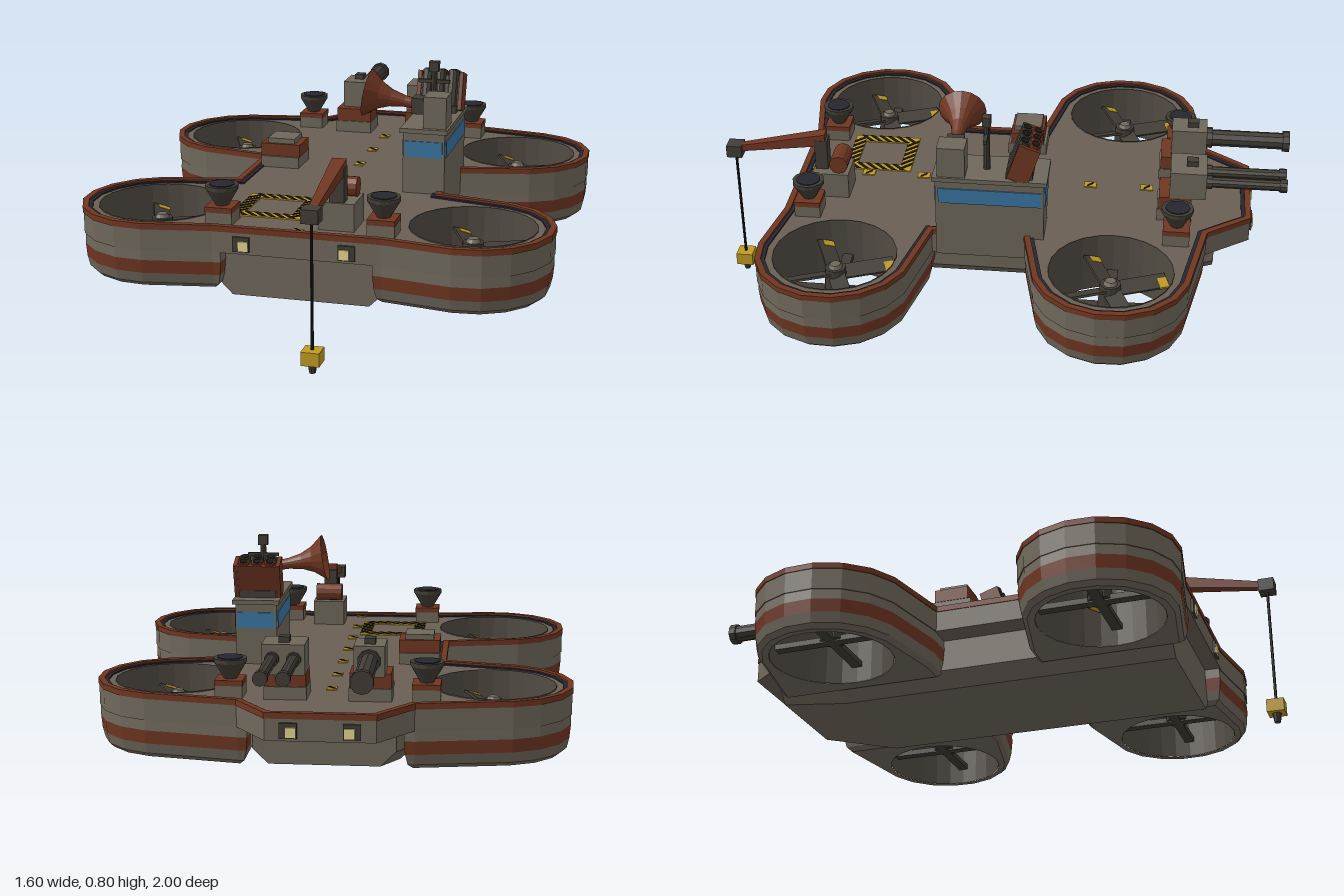
import * as THREE from 'three';

const mat = (name, color, side = THREE.FrontSide) => {
  const m = new THREE.MeshStandardMaterial({ color, side, flatShading: true });
  m.name = name;
  return m;
};
const M = {
  hull: mat('hull grey', 0x6f685b), deck: mat('deck grey brown', 0x695f53),
  rust: mat('rust red', 0x6f3621, THREE.DoubleSide), dark: mat('gunmetal', 0x413d36),
  navy: mat('navy', 0x25262f), yellow: mat('warning yellow', 0xbf9a22),
  black: mat('black', 0x1b1916), blue: mat('window blue', 0x3a76a2),
  cream: mat('lamp cream', 0xe4d690), duct: mat('duct grey', 0x514b42, THREE.DoubleSide),
};

function add(parent, name, geo, material, x = 0, y = 0, z = 0) {
  const m = new THREE.Mesh(geo, material);
  m.name = name;
  m.position.set(x, y, z);
  parent.add(m);
  return m;
}
function group(parent, name, x = 0, y = 0, z = 0) {
  const g = new THREE.Group();
  g.name = name;
  g.position.set(x, y, z);
  parent.add(g);
  return g;
}
const box = (w, h, d) => new THREE.BoxGeometry(w, h, d);
const cyl = (rt, rb, h, n = 12) => new THREE.CylinderGeometry(rt, rb, h, n);
const V2 = (x, y) => new THREE.Vector2(x, y);

// Moves a counter-clockwise plan outline inwards by d
function inset(pts, d) {
  const n = pts.length;
  return pts.map((p, i) => {
    const a = p.clone().sub(pts[(i + n - 1) % n]).normalize();
    const b = pts[(i + 1) % n].clone().sub(p).normalize();
    const na = V2(-a.y, a.x), nb = V2(-b.y, b.x);
    return na.add(nb).multiplyScalar(d / (1 + a.dot(b))).add(p);
  });
}
// Joins rings of points, with optional flat end caps
function loft(rings, caps = false) {
  const out = [], n = rings[0].length;
  const tri = (...ps) => ps.forEach(p => out.push(p.x, p.y, p.z));
  for (let r = 0; r < rings.length - 1; r++) for (let i = 0; i < n; i++) {
    const j = (i + 1) % n, A = rings[r], B = rings[r + 1];
    tri(A[i], B[i], A[j]);
    tri(A[j], B[i], B[j]);
  }
  if (caps) for (let i = 1; i < n - 1; i++) {
    const A = rings[0], B = rings[rings.length - 1];
    tri(A[0], A[i], A[i + 1]);
    tri(B[0], B[i + 1], B[i]);
  }
  const g = new THREE.BufferGeometry();
  g.setAttribute('position', new THREE.Float32BufferAttribute(out, 3));
  g.computeVertexNormals();
  return g;
}
const level = (pts, y) => pts.map(p => new THREE.Vector3(p.x, y, p.y));
// Flat slab with its top at y = 0, from a plan outline
function slab(pts, holes, depth) {
  const s = new THREE.Shape(pts);
  s.holes = holes.map(h => new THREE.Path(h));
  return new THREE.ExtrudeGeometry(s, { depth, bevelEnabled: false }).rotateX(Math.PI / 2);
}
const arc = (cx, cz, r, from, to, n) => Array.from({ length: n + 1 }, (_, i) => {
  const a = (from + (to - from) * i / n) * Math.PI / 180;
  return V2(cx + r * Math.cos(a), cz + r * Math.sin(a));
});

const FX = 0.535, REAR = -0.4, FRONT = 0.53, HOLE = 0.21;
const circle = (x, z) => arc(x, z, HOLE, 0, 345, 23);
const rearLobe = [V2(0.286, -0.714), ...arc(FX, REAR, 0.265, -76, 72, 7), V2(0.365, -0.095)];
const frontLobe = [V2(0.365, 0.225), ...arc(FX, FRONT, 0.265, -70, 95, 8), V2(0.28, 0.755)];

function buildHull(g) {
  const half = [V2(0.175, -0.865), ...rearLobe, ...frontLobe];
  const outline = [...half, ...half.map(p => V2(-p.x, p.y)).reverse()];
  const holes = [];
  for (const s of [-1, 1]) for (const z of [REAR, FRONT]) holes.push(circle(s * FX, z));
  add(g, 'deck', slab(outline, holes, 0.08), [M.deck, M.hull], 0, 0.37, 0);
  add(g, 'deckRim', slab(inset(outline, -0.003), [inset(outline, 0.018)], 0.02), M.rust, 0, 0.382, 0);
  add(g, 'innerGutter', slab(inset(outline, 0.017), [inset(outline, 0.031)], 0.01), M.navy, 0, 0.375, 0);

  // Lower pods around the four fans
  for (const s of [-1, 1]) for (const [lobe, z] of [[rearLobe, REAR], [frontLobe, FRONT]]) {
    const pod = group(g, 'fanPod');
    pod.scale.x = s;
    const pts = z < 0 ? [...lobe, V2(0.25, -0.095), V2(0.25, -0.714)]
      : [V2(0.25, 0.225), ...lobe, V2(0.25, 0.755)];
    const at = (d, y) => level(inset(pts, d), y);
    add(pod, 'podUpperWall', loft([at(0.004, 0.3), at(0.002, 0.255)].reverse()), M.hull);
    add(pod, 'podBand', loft([at(0.006, 0.21), at(0.002, 0.255)]), M.rust);
    add(pod, 'podLowerWall', loft([at(0.03, 0.16), at(0.014, 0.175), at(0.006, 0.21)]), M.hull);
    const floor = new THREE.Shape(inset(pts, 0.03));
    floor.holes = [new THREE.Path(circle(FX, z))];
    add(pod, 'podFloor', new THREE.ShapeGeometry(floor).rotateX(Math.PI / 2), M.hull, 0, 0.16, 0);
    add(pod, 'duct', new THREE.CylinderGeometry(0.209, 0.209, 0.214, 24, 1, true), M.duct, FX, 0.267, z);
  }
  // Keel, rising and narrowing to the rear
  const section = (z, w, b, yb) => [[-w, 0.36], [-w, yb + 0.05], [-b, yb], [b, yb], [w, yb + 0.05], [w, 0.36]]
    .map(([x, y]) => new THREE.Vector3(x, y, z));
  add(g, 'keel', loft([section(0.7, 0.28, 0.23, 0.13), section(-0.48, 0.28, 0.23, 0.13),
    section(-0.745, 0.23, 0.18, 0.18)], true), M.hull);
  // Lamps at both ends
  for (const [x, z, s] of [[-0.18, 0.755, 1], [0.17, 0.755, 1], [-0.1, -0.867, -1], [0.1, -0.867, -1]]) {
    add(g, 'lampHousing', box(0.056, 0.05, 0.016), M.dark, x, 0.325, z);
    add(g, 'lamp', box(0.034, 0.034, 0.008), M.cream, x + (x < 0 ? 0.008 : -0.008), 0.32, z + s * 0.009);
  }
}

function buildFan(parent, x, z) {
  const g = group(parent, 'fan', x, 0, z);
  add(g, 'strutAcross', box(0.41, 0.02, 0.035), M.dark, 0, 0.225, 0);
  add(g, 'strutAlong', box(0.035, 0.02, 0.41), M.dark, 0, 0.225, 0);
  add(g, 'hub', cyl(0.035, 0.042, 0.1), M.dark, 0, 0.27, 0);
  add(g, 'hubCap', cyl(0.018, 0.026, 0.015), M.hull, 0, 0.325, 0);
  for (let i = 0; i < 4; i++) {
    const arm = group(g, 'blade', 0, 0.295, 0);
    arm.rotation.y = (22 + i * 90) * Math.PI / 180;
    const pitch = group(arm, 'pitchedBlade');
    pitch.rotation.x = 0.35;
    add(pitch, 'bladePlate', box(0.18, 0.008, 0.058), M.dark, 0.11, 0, 0);
    add(pitch, 'bladeTip', box(0.034, 0.011, 0.04), M.yellow, 0.184, 0, 0.01);
  }
}

// Slanted black stripe across a strip of the given width
const stripe = (w, d) => slab([V2(-w / 2 - d / 2, -d / 2), V2(w / 2 - d / 2, -d / 2),
  V2(w / 2 + d / 2, d / 2), V2(-w / 2 + d / 2, d / 2)], [], 0.003);

function buildMarkings(g) {
  const pad = group(g, 'landingPad', -0.145, 0.374, 0.483);
  const sq = r => [V2(-r, -r), V2(r, -r), V2(r, r), V2(-r, r)];
  add(pad, 'padFrame', slab(sq(0.121), [sq(0.08)], 0.006), M.yellow);
  for (let k = 0; k < 4; k++) {
    const side = group(pad, 'padSide');
    side.rotation.y = k * Math.PI / 2;
    for (let i = 0; i < 6; i++) add(side, 'padStripe', stripe(0.015, 0.04), M.black, -0.09 + i * 0.033, 0.002, 0.1005);
  }
  for (let i = 0; i < 7; i++) {
    const z = -0.5 + i * 0.202, d = i === 6 ? 0.02 : 0.045;
    add(g, 'centreDash', box(0.034, 0.006, d), M.yellow, -0.002, 0.371, z);
    add(g, 'dashStripe', stripe(0.01, 0.022), M.black, -0.002, 0.376, z);
  }
}

function buildGun(parent, x, barrels, r, tip) {
  const g = group(parent, 'gun', x, 0, -0.6);
  add(g, 'gunFoot', box(0.14, 0.045, 0.12), M.hull, 0, 0.39, 0);
  add(g, 'gunRing', box(0.135, 0.05, 0.11), M.rust, 0, 0.437, 0);
  const w = barrels.length > 1 ? 0.14 : 0.1;
  add(g, 'gunHouse', box(w, 0.1, 0.125), M.hull, 0, 0.512, -0.043);
  add(g, 'gunSight', box(0.035, 0.022, 0.04), M.dark, 0, 0.57, -0.055);
  for (const bx of barrels) {
    const len = tip - 0.69;
    add(g, 'barrel', cyl(r, r, len, 10).rotateX(Math.PI / 2), M.dark, bx, 0.515, 0.6 - 0.69 - len / 2);
    add(g, 'muzzle', cyl(r * 1.25, r * 1.25, 0.025, 10).rotateX(Math.PI / 2), M.dark, bx, 0.515, 0.6 - tip + 0.0125);
    add(g, 'barrelCollar', cyl(r * 1.25, r * 1.25, 0.03, 10).rotateX(Math.PI / 2), M.dark, bx, 0.515, -0.11);
  }
}

function buildTower(parent) {
  const g = group(parent, 'tower', 0.3, 0, 0.024);
  add(g, 'towerBody', box(0.146, 0.3, 0.37), M.hull, 0, 0.44, 0);
  add(g, 'windowBand', box(0.154, 0.056, 0.35), M.blue, 0, 0.527, 0);
  add(g, 'windowEnds', box(0.13, 0.056, 0.378), M.blue, 0, 0.527, 0);
  add(g, 'towerRoof', box(0.165, 0.016, 0.39), M.hull, 0, 0.592, 0);
  // Mast
  add(g, 'mast', cyl(0.01, 0.012, 0.18, 8), M.dark, 0, 0.69, 0.016);
  add(g, 'mastHead', box(0.034, 0.035, 0.028), M.dark, 0, 0.783, 0.016);
  add(g, 'mastCrossbar', box(0.11, 0.012, 0.012), M.dark, 0, 0.73, 0.016);
  // Signal horn
  add(g, 'hornStand', box(0.08, 0.11, 0.095), M.hull, 0.035, 0.655, 0.13);
  add(g, 'hornPivot', box(0.06, 0.055, 0.06), M.dark, -0.02, 0.67, 0.126);
  const horn = new THREE.LatheGeometry([[0.017, 0], [0.02, 0.07], [0.03, 0.12], [0.048, 0.16], [0.084, 0.205]]
    .map(p => V2(...p)), 16);
  add(g, 'horn', horn, M.rust, -0.01, 0.667, 0.126).rotation.z = 80 * Math.PI / 180;
  // Tilted launcher with two rows of tubes
  const l = group(g, 'launcher', 0, 0.665, -0.115);
  l.rotation.x = -0.32;
  for (const s of [-1, 1]) add(l, 'launcherCheek', box(0.014, 0.135, 0.075), M.rust, s * 0.075, 0, 0);
  add(l, 'launcherBack', box(0.14, 0.13, 0.02), M.rust, 0, 0, -0.026);
  add(l, 'launcherFront', box(0.14, 0.12, 0.045), M.dark, 0, -0.005, 0.008);
  for (let i = -1; i <= 1; i++) for (const z of [-0.016, 0.022]) {
    add(l, 'launchTube', cyl(0.02, 0.02, 0.14, 10), z < 0 ? M.rust : M.dark, i * 0.046, 0.004, z);
    add(l, 'tubeMouth', cyl(0.014, 0.014, 0.004, 10), M.black, i * 0.046, 0.075, z);
  }
  add(g, 'launcherFoot', box(0.13, 0.03, 0.09), M.dark, 0, 0.61, -0.1);
}

function buildCrane(parent) {
  const g = group(parent, 'crane', 0.115, 0, 0);
  add(g, 'craneBase', box(0.12, 0.095, 0.13), M.hull, 0, 0.415, 0.615);
  add(g, 'winch', cyl(0.033, 0.033, 0.1).rotateZ(Math.PI / 2), M.rust, 0, 0.495, 0.585);
  add(g, 'cranePost', box(0.05, 0.13, 0.045), M.dark, 0, 0.51, 0.65);
  const end = (z, y, w, h) => [[-w, y - h], [w, y - h], [w, y + h], [-w, y + h]].map(p => new THREE.Vector3(p[0], p[1], z));
  add(g, 'craneArm', loft([end(0.97, 0.517, 0.013, 0.011), end(0.635, 0.578, 0.024, 0.022)], true), M.rust);
  add(g, 'armTip', box(0.056, 0.045, 0.055), M.dark, 0, 0.513, 0.965);
  add(g, 'cable', cyl(0.005, 0.005, 0.43, 6), M.black, 0, 0.285, 0.965);
  add(g, 'hookBlock', box(0.06, 0.045, 0.06), M.yellow, 0, 0.054, 0.965);
  for (const a of [0, 1, 2, 3]) {
    const side = group(g, 'hookSide', 0, 0.054, 0.965);
    side.rotation.y = a * Math.PI / 2;
    add(side, 'hookStripe', stripe(0.012, 0.028).rotateX(Math.PI / 2), M.black, 0, 0, 0.029);
  }
  add(g, 'hook', cyl(0.016, 0.011, 0.034, 8), M.dark, 0, 0.017, 0.965);
}

export function createModel() {
  const g = new THREE.Group();
  g.name = 'flyingPlatform';
  buildHull(g);
  for (const s of [-1, 1]) for (const z of [REAR, FRONT]) buildFan(g, s * FX, z);
  buildMarkings(g);
  buildGun(g, -0.14, [0], 0.03, 1.0);
  buildGun(g, 0.135, [-0.035, 0.035], 0.019, 0.98);
  buildTower(g);
  buildCrane(g);
  // Deck locker
  add(g, 'lockerFoot', box(0.14, 0.045, 0.14), M.hull, -0.273, 0.388, -0.05);
  add(g, 'lockerBand', box(0.144, 0.045, 0.12), M.rust, -0.273, 0.433, -0.05);
  add(g, 'lockerLid', box(0.1, 0.022, 0.1), M.hull, -0.273, 0.463, -0.05);
  // Dish-topped bollards
  for (const s of [-1, 1]) for (const [x, z] of [[0.32, -0.61], [0.27, 0.67]]) {
    const b = group(g, 'bollard', s * x, 0, z);
    add(b, 'bollardFoot', box(0.09, 0.045, 0.09), M.hull, 0, 0.388, 0);
    add(b, 'bollardCap', box(0.092, 0.018, 0.092), M.rust, 0, 0.419, 0);
    add(b, 'dish', cyl(0.054, 0.022, 0.055), M.dark, 0, 0.455, 0);
    add(b, 'dishRim', cyl(0.055, 0.055, 0.014), M.dark, 0, 0.489, 0);
    add(b, 'dishCentre', cyl(0.042, 0.042, 0.006), M.navy, 0, 0.496, 0);
  }
  return g;
}
